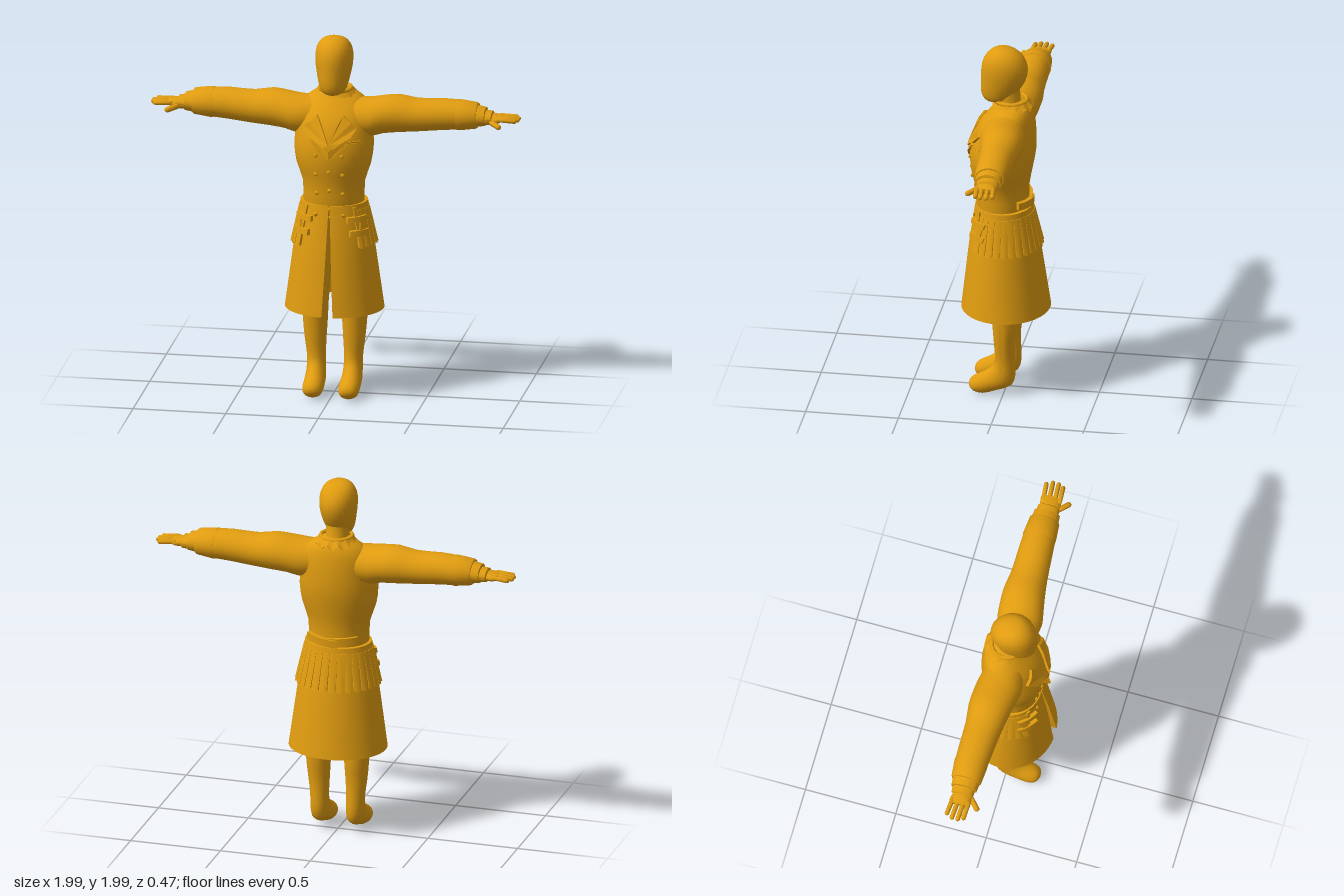
import * as THREE from 'three';
import { toCreasedNormals, mergeVertices } from 'three/addons/utils/BufferGeometryUtils.js';

const V = (x, y, z) => new THREE.Vector3(x, y, z);

function indexed(pos, idx) {
  const g = new THREE.BufferGeometry();
  g.setAttribute('position', new THREE.Float32BufferAttribute(pos, 3));
  g.setIndex(idx);
  return g;
}

// Closed solid through elliptical rings {c, u, v}, where u x v points along the path
function loft(rings, sides = 28, smooth = 1) {
  const pos = [], idx = [], rows = (rings.length - 1) * smooth;
  const columns = [];
  for (let j = 0; j < sides; j++) {
    const t = j / sides * Math.PI * 2;
    const pts = rings.map(r => r.c.clone().addScaledVector(r.u, Math.cos(t)).addScaledVector(r.v, Math.sin(t)));
    columns.push(new THREE.CatmullRomCurve3(pts).getPoints(rows));
  }
  for (let i = 0; i <= rows; i++) columns.forEach(col => pos.push(...col[i].toArray()));
  for (let i = 0; i < rows; i++) for (let j = 0; j < sides; j++) {
    const k = (j + 1) % sides, a = i * sides + j, b = i * sides + k;
    idx.push(a, b, a + sides, b, b + sides, a + sides);
  }
  const start = pos.length / 3;
  pos.push(...rings[0].c.toArray(), ...rings[rings.length - 1].c.toArray());
  for (let j = 0; j < sides; j++) {
    const k = (j + 1) % sides;
    idx.push(start, k, j, start + 1, rows * sides + j, rows * sides + k);
  }
  return indexed(pos, idx);
}

// Rows [y, half width, front z, back z]: surface point at angle a (0 = front) and height y
const surface = rows => (a, y, off = 0) => {
  let i = 0;
  while (i < rows.length - 2 && y > rows[i + 1][0]) i++;
  const t = (y - rows[i][0]) / (rows[i + 1][0] - rows[i][0]);
  const [, rx, zf, zb] = rows[i].map((v, k) => v + (rows[i + 1][k] - v) * t);
  return V((rx + off) * Math.sin(a), y, (zf + zb) / 2 + ((zf - zb) / 2 + off) * Math.cos(a));
};
const uprightRings = rows => rows.map(([y, rx, zf, zb]) =>
  ({ c: V(0, y, (zf + zb) / 2), u: V(rx, 0, 0), v: V(0, 0, -(zf - zb) / 2) }));

// Raised curved plate: f(s, t, rise), s to the right and t upward, with a turned-in border
function plate(f, n, m) {
  const pos = [], idx = [], w = n + 3;
  for (let j = -1; j <= m + 1; j++) for (let i = -1; i <= n + 1; i++) {
    const s = Math.min(Math.max(i, 0), n) / n, t = Math.min(Math.max(j, 0), m) / m;
    const edge = i < 0 || j < 0 || i > n || j > m;
    pos.push(...f(s, t, edge ? 0 : 1).toArray());
  }
  for (let j = 0; j < m + 2; j++) for (let i = 0; i < n + 2; i++) {
    const a = j * w + i;
    idx.push(a, a + 1, a + w, a + 1, a + w + 1, a + w);
  }
  return indexed(pos, idx);
}

const mix = THREE.MathUtils.lerp;

export function createModel() {
  const group = new THREE.Group();
  const amber = new THREE.MeshStandardMaterial({ color: 0xe09c10, side: THREE.DoubleSide });
  amber.name = 'amber';

  const add = (name, geo, crease = 0.75) => {
    const mesh = new THREE.Mesh(toCreasedNormals(geo, crease), amber);
    mesh.name = name;
    group.add(mesh);
  };
  const addPair = (name, geo, crease) => {
    const other = geo.clone().scale(-1, 1, 1);
    other.index.array.reverse();
    add(name + 'Left', geo, crease);
    add(name + 'Right', other, crease);
  };

  // Torso
  const torsoRows = [[1.0, .155, .14, -.11], [1.09, .163, .16, -.12], [1.2, .167, .168, -.122],
    [1.3, .2, .19, -.14], [1.4, .213, .194, -.157], [1.5, .205, .17, -.158], [1.57, .2, .135, -.152],
    [1.63, .17, .085, -.142], [1.67, .12, .05, -.125], [1.695, .07, .03, -.1]];
  const torso = surface(torsoRows);
  add('torso', loft(uprightRings(torsoRows), 36, 2));
  const chestZ = (x, y) => torso(Math.asin(x / torso(Math.PI / 2, y).x), y).z;

  // Neck and smooth egg-shaped head
  add('neck', loft(uprightRings([[1.64, .07, .05, -.1], [1.7, .062, .06, -.075], [1.78, .062, .06, -.07]])));
  add('head', loft(uprightRings([[1.685, .035, .1, .03], [1.7, .062, .122, -.02], [1.735, .077, .136, -.055],
    [1.8, .092, .137, -.098], [1.87, .101, .136, -.115], [1.93, .095, .122, -.098],
    [1.97, .073, .092, -.06], [1.99, .04, .06, -.015], [1.995, .012, .035, .01]]), 28, 2), 1.2);

  // Collar with a jagged fall at the back
  add('collarFall', plate((s, t, r) => {
    const a = s * Math.PI * 2, back = (1 - Math.cos(a)) / 2;
    const tooth = (Math.round(s * 48) % 4 < 2 ? 0 : .02) * back;
    const rad = mix(.105 + .012 * back, .078, t) + r * .006;
    return V(rad * Math.sin(a), mix(1.665 - .015 * back + tooth, 1.705, t), -.03 + rad * .95 * Math.cos(a));
  }, 48, 3));
  const ring = new THREE.TorusGeometry(.084, .011, 8, 32).rotateX(Math.PI / 2).translate(0, 1.695, -.025);
  add('collarRoll', ring, 1.2);

  // Legs and feet: rows of front y, z and back y, z, then half width and centre x
  addPair('leg', loft([[1.0, .09, 1.0, -.09, .08, .095], [.7, .08, .7, -.085, .08, .1], [.5, .066, .5, -.076, .07, .105],
    [.41, .058, .42, -.076, .067, .106], [.3, .05, .3, -.061, .058, .104], [.21, .046, .2, -.062, .05, .1],
    [.17, .06, .125, -.064, .051, .099], [.135, .1, .066, -.045, .054, .098], [.118, .132, .03, .04, .056, .097],
    [.1, .165, .01, .105, .054, .097], [.078, .183, .016, .15, .042, .097], [.056, .186, .03, .172, .02, .097]
  ].map(([fy, fz, by, bz, rx, x]) =>
    ({ c: V(x, (fy + by) / 2, (fz + bz) / 2), u: V(rx, 0, 0), v: V(0, (fy - by) / 2, (fz - bz) / 2) })), 24, 2), 1.2);

  // Arm parts: rows of x, bottom, top, back z, front z
  const alongX = rows => rows.map(([x, b, t, zb, zf]) =>
    ({ c: V(x, (b + t) / 2, (zb + zf) / 2), u: V(0, (t - b) / 2, 0), v: V(0, 0, (zf - zb) / 2) }));
  addPair('sleeve', loft(alongX([[.08, 1.45, 1.65, -.11, .09], [.2, 1.445, 1.655, -.135, .11], [.26, 1.46, 1.663, -.14, .1],
    [.34, 1.468, 1.671, -.142, .085], [.44, 1.476, 1.655, -.13, .07], [.58, 1.49, 1.66, -.127, .058],
    [.68, 1.497, 1.655, -.124, .05]]), 28, 2));
  addPair('cuff', loft(alongX([[.66, 1.493, 1.658, -.127, .053], [.675, 1.493, 1.658, -.127, .053],
    [.76, 1.506, 1.647, -.118, .046], [.768, 1.512, 1.642, -.113, .042]])));
  addPair('cuffEnd', loft(alongX([[.75, 1.515, 1.636, -.11, .04], [.81, 1.525, 1.622, -.105, .035], [.812, 1.535, 1.612, -.09, .02]])));
  addPair('wristband', loft(alongX([[.80, 1.53, 1.608, -.098, .026], [.845, 1.533, 1.604, -.094, .024], [.85, 1.54, 1.597, -.085, .015]])));
  addPair('palm', loft(alongX([[.82, 1.535, 1.595, -.075, .01], [.85, 1.54, 1.592, -.085, .02],
    [.885, 1.545, 1.587, -.093, .022], [.905, 1.556, 1.583, -.09, .016]]), 20, 2), 1.2);

  // Fingers and thumb
  const digit = (x0, z0, x1, z1, y0, y1, r) => {
    const from = V(x0, y0, z0), to = V(x1, y1, z1), d = to.clone().sub(from);
    const g = new THREE.CapsuleGeometry(r, d.length() - r, 4, 10);
    g.applyQuaternion(new THREE.Quaternion().setFromUnitVectors(V(0, 1, 0), d.clone().normalize()));
    return g.translate(...from.add(to).multiplyScalar(.5).toArray());
  };
  [[-.08, .978], [-.048, .995], [-.016, .995], [.012, .982]].forEach(([z, x], i) =>
    addPair('finger' + (i + 1), digit(.88, z * .95, x - .005, z - .005, 1.572, 1.566, .0125), 1.2));
  addPair('thumb', digit(.845, .012, .9, .064, 1.556, 1.545, .015), 1.2);

  // Flared coat skirt, split at the front with turned-in edges
  const skirt = surface([[.49, .266, .24, -.236], [.85, .217, .2, -.182], [1.09, .18, .165, -.142]]);
  add('coatSkirt', plate((s, t, r) => {
    const gap = mix(.115, .02, t);
    const p = skirt(mix(gap, Math.PI * 2 - gap, s), mix(.49, 1.09, t));
    if (!r && (s === 0 || s === 1)) p.z -= .045;
    return p;
  }, 56, 8));
  add('waistRim', plate((s, t, r) => skirt(s * Math.PI * 2, 1.09, mix(-.025, 0, r * (1 - t))), 48, 1));

  // Pleated flap around the sides and back
  const slats = 22, a0 = .78, step = (Math.PI * 2 - 2 * a0) / slats;
  for (let k = 0; k < slats; k++) add('pleat' + (k + 1), plate((s, t, r) =>
    skirt(a0 + step * (k + mix(.04 * t, 1 - .09 * (1 - t), s)), mix(.855 + .008 * Math.abs(s * 2 - 1), 1.06, t),
      r * (.003 + .012 * (1 - t) + .004 * (1 - t) * Math.sin(s * Math.PI))), 4, 4));

  // Front pocket straps with a slanted edge strip
  const skirtPlate = (x0, x1, y0, y1, rise, lean = 0) => plate((s, t, r) => {
    const y = mix(y0, y1, t), x = mix(x0, x1, s) + lean * t;
    return skirt(Math.asin(Math.min(.99, x / skirt(Math.PI / 2, y).x)), y, r * rise);
  }, 8, 2);
  addPair('upperStrap', skirtPlate(.09, .172, 1.0, 1.03, .02));
  addPair('lowerStrap', skirtPlate(.105, .183, .925, .957, .022));
  addPair('pocketEdge', skirtPlate(.158, .172, .855, 1.08, .01, -.04));
  addPair('strapTab', skirtPlate(.15, .168, .945, 1.01, .016));

  // Two overlapping half belts on the lower back
  const belt = (from, to, y0, y1, rise) => plate((s, t, r) =>
    torso(mix(from, to, s), mix(y0, y1, s) + .042 * t, .003 + r * rise), 12, 2);
  add('backBeltRight', belt(Math.PI - .1, Math.PI + .85, 1.1, 1.108, .016));
  add('backBeltLeft', belt(Math.PI - .85, Math.PI + .2, 1.108, 1.092, .024));

  // Lapels and breast pocket: thin shapes laid over the chest
  const overlay = (points, lift, depth) => {
    const shape = new THREE.Shape(points.map(([x, y]) => new THREE.Vector2(x, y)));
    const g = new THREE.ExtrudeGeometry(shape, { depth, bevelEnabled: false });
    const p = g.attributes.position;
    for (let i = 0; i < p.count; i++) p.setZ(i, p.getZ(i) + chestZ(p.getX(i), p.getY(i)) + lift);
    g.deleteAttribute('normal');
    g.deleteAttribute('uv');
    return mergeVertices(g);
  };
  addPair('lapel', overlay([[.004, 1.44], [.03, 1.42], [.07, 1.45], [.115, 1.475], [.145, 1.524],
    [.112, 1.548], [.072, 1.585], [.05, 1.55]], .006, .014), .3);
  addPair('lapelFold', overlay([[0, 1.355], [.05, 1.4], [.105, 1.455], [.085, 1.468], [.03, 1.43], [0, 1.405]], .002, .012), .3);
  add('breastPocket', overlay([[.085, 1.443], [.125, 1.443], [.165, 1.445], [.165, 1.453], [.125, 1.452], [.085, 1.452]], .002, .008), .3);

  // Buttons
  const button = (x, y, z) => new THREE.SphereGeometry(.011, 12, 8).scale(1, 1, .7).translate(x, y, z);
  [[.07, 1.375], [.072, 1.267], [.07, 1.157]].forEach(([x, y], i) =>
    addPair('coatButton' + (i + 1), button(x, y, chestZ(x, y) + .003), 1.2));
  addPair('skirtButton', button(.075, 1.04, skirt(Math.asin(.075 / .187), 1.04).z + .003), 1.2);
  [1.285, 1.177, 1.07, 1.02].forEach((y, i) => add('frontButton' + (i + 1), button(0, y, chestZ(0, y) + .003), 1.2));

  return group;
}
